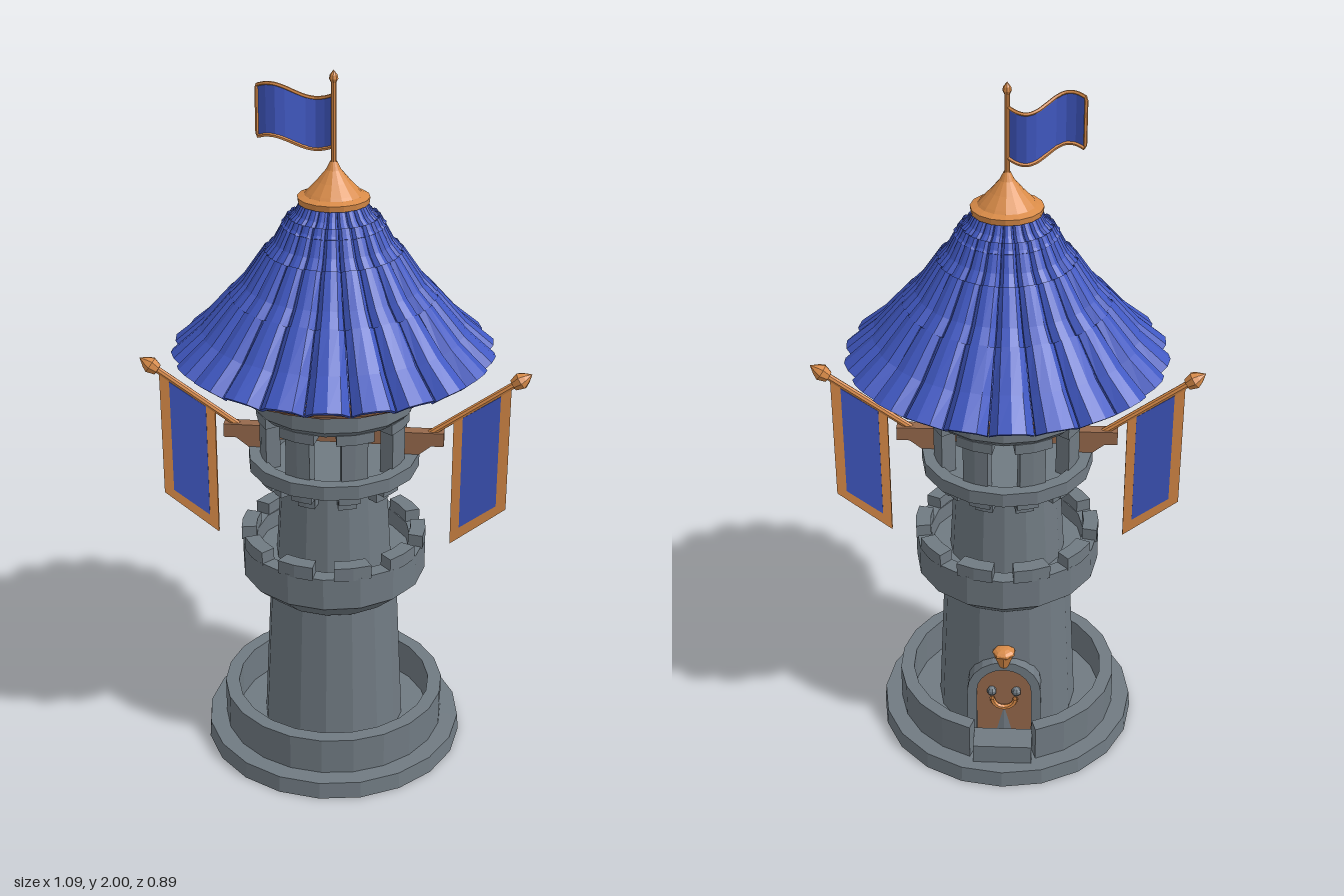
import * as THREE from 'three';

const mat = (color) => new THREE.MeshStandardMaterial({ color, flatShading: true, side: THREE.DoubleSide });
const STONE = mat(0x707a82), BLUE = mat(0x4058c2), GOLD = mat(0xd98b48), WOOD = mat(0x96694c);
const V2 = (p) => new THREE.Vector2(p[0], p[1]);

function add(parent, name, geometry, material, x = 0, y = 0, z = 0) {
  const mesh = new THREE.Mesh(geometry, material);
  mesh.name = name;
  mesh.position.set(x, y, z);
  parent.add(mesh);
  return mesh;
}

// profile runs up the outside, then back down the inside
const lathe = (profile, sides) => new THREE.LatheGeometry(profile.map(V2), sides);

// solid sector of a ring; angle 0 faces the front
function arcBlock(r0, r1, y0, y1, a0, a1, segs = 2) {
  const pts = [];
  const put = (r, a) => pts.push(new THREE.Vector2(r * Math.sin(a), -r * Math.cos(a)));
  for (let i = 0; i <= segs; i++) put(r1, a0 + (a1 - a0) * i / segs);
  for (let i = segs; i >= 0; i--) put(r0, a0 + (a1 - a0) * i / segs);
  const g = new THREE.ExtrudeGeometry(new THREE.Shape(pts), { depth: y1 - y0, bevelEnabled: false });
  return g.rotateX(-Math.PI / 2).translate(0, y0, 0);
}

// evenly spaced ring of arc blocks
function blockRing(parent, name, count, width, r0, r1, y0, y1, offset = 0) {
  for (let i = 0; i < count; i++) {
    const a = (i + offset) / count * Math.PI * 2;
    add(parent, name, arcBlock(r0, r1, y0, y1, a - width / 2, a + width / 2), STONE);
  }
}

// plate with a flat outline, centred on z
function plate(points, depth) {
  const g = new THREE.ExtrudeGeometry(new THREE.Shape(points.map(V2)), { depth, bevelEnabled: false });
  return g.translate(0, 0, -depth / 2);
}

// one tier of arched tiles, each a closed shell swept from three cross-sections
function tileTier(count, rLow, yLow, rTop, yTop, bulge, turn) {
  const pos = [], idx = [];
  const across = [[-0.5, 0], [-0.3, 0.8], [0, 1], [0.3, 0.8], [0.5, 0]];
  const n = across.length, rows = [0, 0.45, 1], step = Math.PI * 2 / count;
  const len = Math.hypot(rLow - rTop, yTop - yLow);
  const nr = (yTop - yLow) / len, ny = (rLow - rTop) / len;
  for (let t = 0; t < count; t++) {
    const base = pos.length / 3;
    for (const s of rows) {
      const loop = [...across.map(([a, h]) => [a, h * bulge]), ...across.map(([a, h]) => [a, h * bulge - 0.016]).reverse()];
      for (const [a, h] of loop) {
        const sag = -0.008 * Math.sin(Math.PI * s);
        const off = h * (1 - 0.55 * s) + sag;
        const r = rLow + (rTop - rLow) * s + nr * off;
        const y = yLow + (yTop - yLow) * s + ny * off;
        const ang = (t + turn + a * 0.97) * step;
        pos.push(r * Math.sin(ang), y, r * Math.cos(ang));
      }
    }
    const m = 2 * n;
    for (let k = 0; k < rows.length - 1; k++) for (let j = 0; j < m; j++) {
      const a = base + k * m + j, b = base + k * m + (j + 1) % m;
      idx.push(a, b, b + m, a, b + m, a + m);
    }
    // lower rim
    for (let j = 0; j < n - 1; j++) {
      const a = base + j, b = a + 1, c = base + m - 2 - j, d = base + m - 1 - j;
      idx.push(a, c, b, a, d, c);
    }
  }
  const g = new THREE.BufferGeometry();
  g.setAttribute('position', new THREE.Float32BufferAttribute(pos, 3));
  g.setIndex(idx);
  g.computeVertexNormals();
  return g;
}

function buildDoor(parent) {
  const door = new THREE.Group();
  door.name = 'door';
  const arch = (Type, w, y0, spring) => {
    const s = new Type();
    s.moveTo(-w, y0);
    s.lineTo(w, y0);
    s.lineTo(w, spring);
    s.absarc(0, spring, w, 0, Math.PI, false);
    s.lineTo(-w, y0);
    return s;
  };
  const frame = arch(THREE.Shape, 0.108, 0.05, 0.22);
  frame.holes.push(arch(THREE.Path, 0.08, 0.051, 0.22));
  const opts = { bevelEnabled: false, curveSegments: 5 };
  add(door, 'doorFrame', new THREE.ExtrudeGeometry(frame, { ...opts, depth: 0.085 }), STONE, 0, 0, 0.13);
  add(door, 'doorPanel', new THREE.ExtrudeGeometry(arch(THREE.Shape, 0.082, 0.05, 0.22), { ...opts, depth: 0.06 }), WOOD, 0, 0, 0.142);
  const ring = new THREE.TorusGeometry(0.034, 0.008, 6, 10, Math.PI).rotateZ(Math.PI);
  add(door, 'doorKnocker', ring, GOLD, 0, 0.195, 0.215);
  for (const s of [-1, 1]) {
    add(door, 'doorStud', new THREE.SphereGeometry(0.015, 7, 5), STONE, s * 0.036, 0.215, 0.207);
  }
  add(door, 'doorCrest', new THREE.CylinderGeometry(0.034, 0.014, 0.05, 7), GOLD, 0, 0.335, 0.205);
  add(door, 'doorCrestTop', new THREE.SphereGeometry(0.034, 7, 4, 0, Math.PI * 2, 0, Math.PI / 2).scale(1, 0.5, 1), GOLD, 0, 0.358, 0.205);
  door.rotation.y = Math.PI;
  parent.add(door);
}

function buildBanner(parent, side) {
  const banner = new THREE.Group();
  banner.name = side > 0 ? 'leftBanner' : 'rightBanner';
  add(banner, 'bannerCloth', plate([[0.335, 0.645], [0.49, 0.765], [0.49, 1.145], [0.335, 1.04]], 0.012), GOLD);
  add(banner, 'bannerPanel', plate([[0.36, 0.70], [0.462, 0.775], [0.462, 1.115], [0.36, 1.045]], 0.016), BLUE);
  // slanted pole with pointed finial
  const from = new THREE.Vector3(0.22, 0.955, 0), to = new THREE.Vector3(0.505, 1.155, 0);
  const pole = add(banner, 'bannerPole', new THREE.CylinderGeometry(0.01, 0.01, from.distanceTo(to), 8), GOLD);
  pole.position.lerpVectors(from, to, 0.5);
  pole.rotation.z = -Math.atan2(to.x - from.x, to.y - from.y);
  const tip = add(banner, 'bannerFinial', lathe([[0, -0.015], [0.017, -0.012], [0.025, 0.012], [0.017, 0.027], [0, 0.048]], 8), GOLD, 0.505, 1.155, 0);
  tip.rotation.z = pole.rotation.z;
  add(banner, 'beamBrace', plate([[0.19, 0.925], [0.235, 0.925], [0.285, 0.965], [0.19, 0.965]], 0.03), WOOD);
  if (side < 0) banner.rotation.y = Math.PI;
  parent.add(banner);
}

function buildFlag(parent) {
  const wave = (u, v) => new THREE.Vector3(
    -0.198 * u, 1.8 + 0.135 * v + 0.018 * u - 0.018 * Math.sin(u * Math.PI * 1.9), -0.02 * Math.sin(u * Math.PI * 2) + 0.008 * u);
  const g = new THREE.PlaneGeometry(1, 1, 8, 1), p = g.attributes.position;
  for (let i = 0; i < p.count; i++) {
    const w = wave(p.getX(i) + 0.5, p.getY(i) + 0.5);
    p.setXYZ(i, w.x, w.y, w.z);
  }
  g.computeVertexNormals();
  add(parent, 'flag', g, BLUE);
  const edge = new THREE.CurvePath();
  const line = (pts) => edge.add(new THREE.CatmullRomCurve3(pts));
  const us = [0, 0.125, 0.25, 0.375, 0.5, 0.625, 0.75, 0.875, 1];
  line(us.map((u) => wave(u, 0)));
  line([wave(1, 0), wave(1, 1)]);
  line(us.map((u) => wave(1 - u, 1)));
  add(parent, 'flagTrim', new THREE.TubeGeometry(edge, 60, 0.005, 5), GOLD);
}

export function createModel() {
  const tower = new THREE.Group();
  tower.name = 'tower';

  // base, courtyard wall with an opening, and step
  add(tower, 'base', new THREE.CylinderGeometry(0.376, 0.38, 0.05, 20), STONE, 0, 0.025, 0);
  add(tower, 'courtyardWall', arcBlock(0.285, 0.325, 0.05, 0.16, Math.PI + 0.3, Math.PI * 3 - 0.3, 20), STONE);
  add(tower, 'doorStep', new THREE.BoxGeometry(0.17, 0.06, 0.08), STONE, 0, 0.08, -0.292);

  // lower and upper shafts
  add(tower, 'lowerShaft', new THREE.CylinderGeometry(0.184, 0.207, 0.47, 16), STONE, 0, 0.285, 0);
  add(tower, 'upperShaft', new THREE.CylinderGeometry(0.147, 0.168, 0.34, 16), STONE, 0, 0.74, 0);
  buildDoor(tower);

  // battlement
  add(tower, 'battlement', lathe([[0.15, 0.5], [0.198, 0.5], [0.265, 0.56], [0.265, 0.655], [0.222, 0.655], [0.222, 0.605], [0.15, 0.605]], 16), STONE);
  blockRing(tower, 'merlon', 10, 0.4, 0.222, 0.265, 0.65, 0.69, 0.5);

  // lookout with corbels, parapet, pillars and lintel
  blockRing(tower, 'corbelFoot', 10, 0.28, 0.13, 0.185, 0.83, 0.865, 0.5);
  blockRing(tower, 'corbel', 10, 0.28, 0.13, 0.215, 0.86, 0.9, 0.5);
  add(tower, 'lookoutFloor', lathe([[0, 0.89], [0.242, 0.89], [0.242, 0.93], [0.205, 0.93], [0.205, 0.91], [0, 0.91]], 16), STONE);
  blockRing(tower, 'pillar', 8, 0.36, 0.165, 0.208, 0.905, 1.065, 0.5);
  blockRing(tower, 'pillarHead', 8, 0.5, 0.16, 0.216, 1.04, 1.07, 0.5);
  add(tower, 'lintel', lathe([[0, 1.065], [0.21, 1.065], [0.23, 1.085], [0.23, 1.155], [0, 1.155]], 16), STONE);
  add(tower, 'crossBeam', new THREE.BoxGeometry(0.62, 0.04, 0.035), WOOD, 0, 0.978, 0);
  for (const s of [-1, 1]) buildBanner(tower, s);

  // wooden eaves and tiled roof
  add(tower, 'eaves', lathe([[0, 1.15], [0.29, 1.155], [0.3, 1.185], [0.365, 1.195], [0.375, 1.225], [0, 1.26]], 18), WOOD);
  const tiers = [
    [0.418, 1.222, 0.27, 1.395, 0.034],
    [0.288, 1.362, 0.178, 1.52, 0.024],
    [0.19, 1.492, 0.118, 1.615, 0.016],
    [0.132, 1.588, 0.07, 1.675, 0.011],
  ];
  tiers.forEach(([r0, y0, r1, y1, bulge], i) => add(tower, 'roofTier' + (i + 1), tileTier(22, r0, y0, r1, y1, bulge, 0.25), BLUE));
  add(tower, 'roofCore', lathe([[0, 1.24], [0.37, 1.235], [0.26, 1.37], [0.165, 1.5], [0.06, 1.66]], 22), BLUE);

  // roof cap, flagpole and flag
  add(tower, 'roofCap', lathe([[0, 1.65], [0.095, 1.652], [0.097, 1.668], [0.078, 1.675], [0.072, 1.682], [0.045, 1.71], [0.02, 1.74], [0.009, 1.762]], 16), GOLD);
  add(tower, 'flagpole', new THREE.CylinderGeometry(0.007, 0.007, 0.24, 8), GOLD, 0, 1.86, 0);
  add(tower, 'flagpoleFinial', lathe([[0.006, 1.965], [0.012, 1.977], [0.01, 1.987], [0, 2]], 8), GOLD);
  buildFlag(tower);
  return tower;
}
